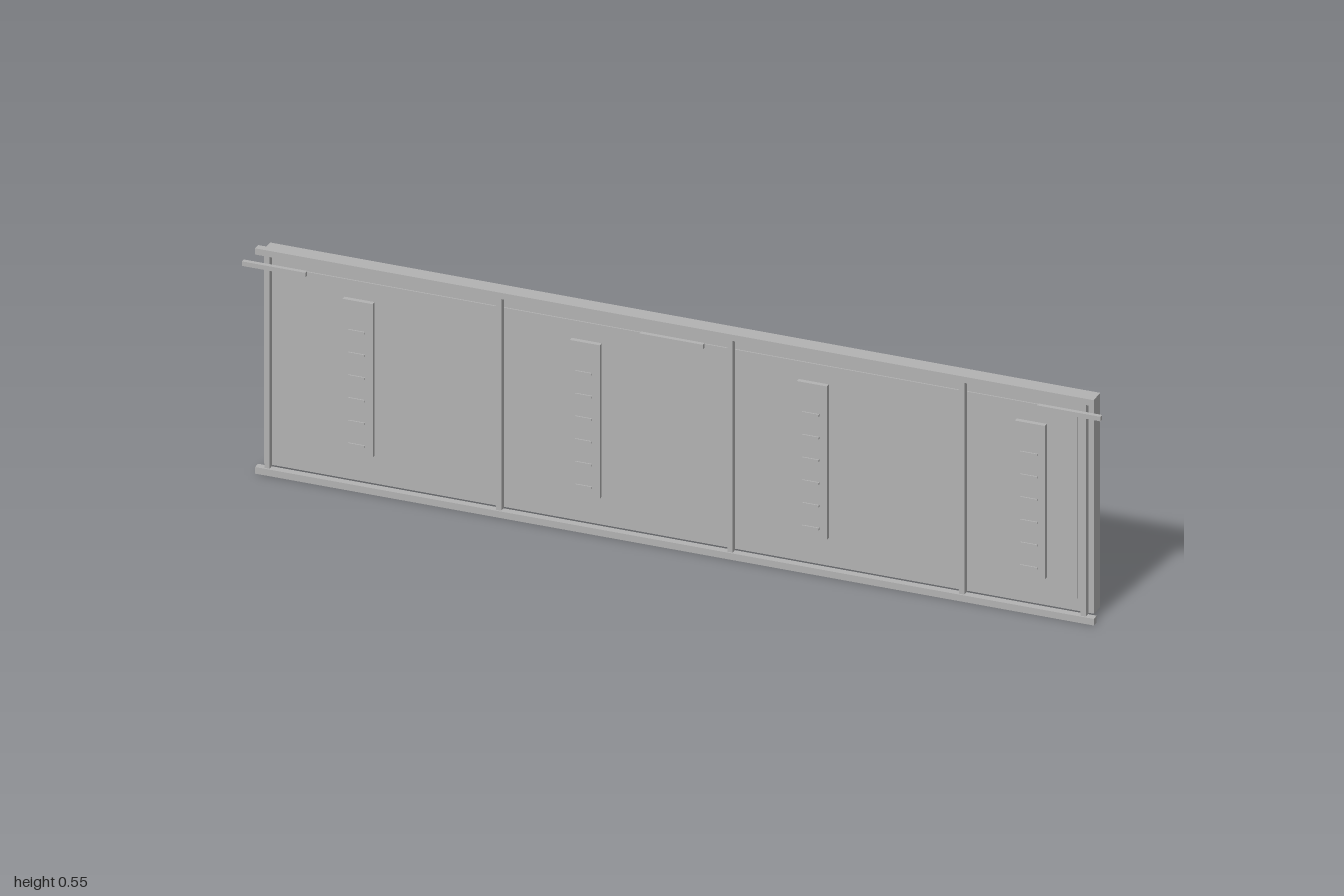
import * as THREE from 'three';

export function createModel() {
  const model = new THREE.Group();
  model.name = 'wallPanel';
  const grey = new THREE.MeshStandardMaterial({ color: 0xb2b2b2 });
  grey.name = 'plain grey';

  // box given by its limits on each axis
  const box = (name, [x0, x1], [y0, y1], [z0, z1]) => {
    const mesh = new THREE.Mesh(new THREE.BoxGeometry(x1 - x0, y1 - y0, z1 - z0), grey);
    mesh.name = name;
    mesh.position.set((x0 + x1) / 2, (y0 + y1) / 2, (z0 + z1) / 2);
    model.add(mesh);
  };
  const span = (centre, width) => [centre - width / 2, centre + width / 2];

  // backing slab and the thin sheet in front of it
  box('backSlab', span(0, 1.934), [0.014, 0.533], [-0.04, -0.005]);
  box('innerSheet', span(0, 1.86), [0.047, 0.501], [0, 0.003]);

  // horizontal rails
  box('topRail', span(0, 1.954), [0.531, 0.546], [0.005, 0.022]);
  box('bottomRail', span(0, 1.954), [0, 0.016], [0.005, 0.022]);

  // upright posts
  for (const x of [-0.951, -0.411, 0.128, 0.668, 0.951]) {
    box('post', span(x, 0.012), [0.009, 0.539], [0.003, 0.018]);
  }

  // vent plates, each with a column of small slats standing off the front
  for (const x of [-0.735, -0.206, 0.323, 0.831]) {
    box('ventPlate', span(x, 0.07), [0.094, 0.466], [0.018, 0.029]);
    for (let i = 0; i < 6; i++) {
      box('ventSlat', span(x, 0.039), span(0.121 + i * 0.055, 0.005), [0.0345, 0.0375]);
    }
  }

  // short bars along the top
  for (const x of [-0.926, 0, 0.926]) {
    box('topBar', span(x, 0.148), [0.508, 0.519], [0.031, 0.041]);
  }
  return model;
}
